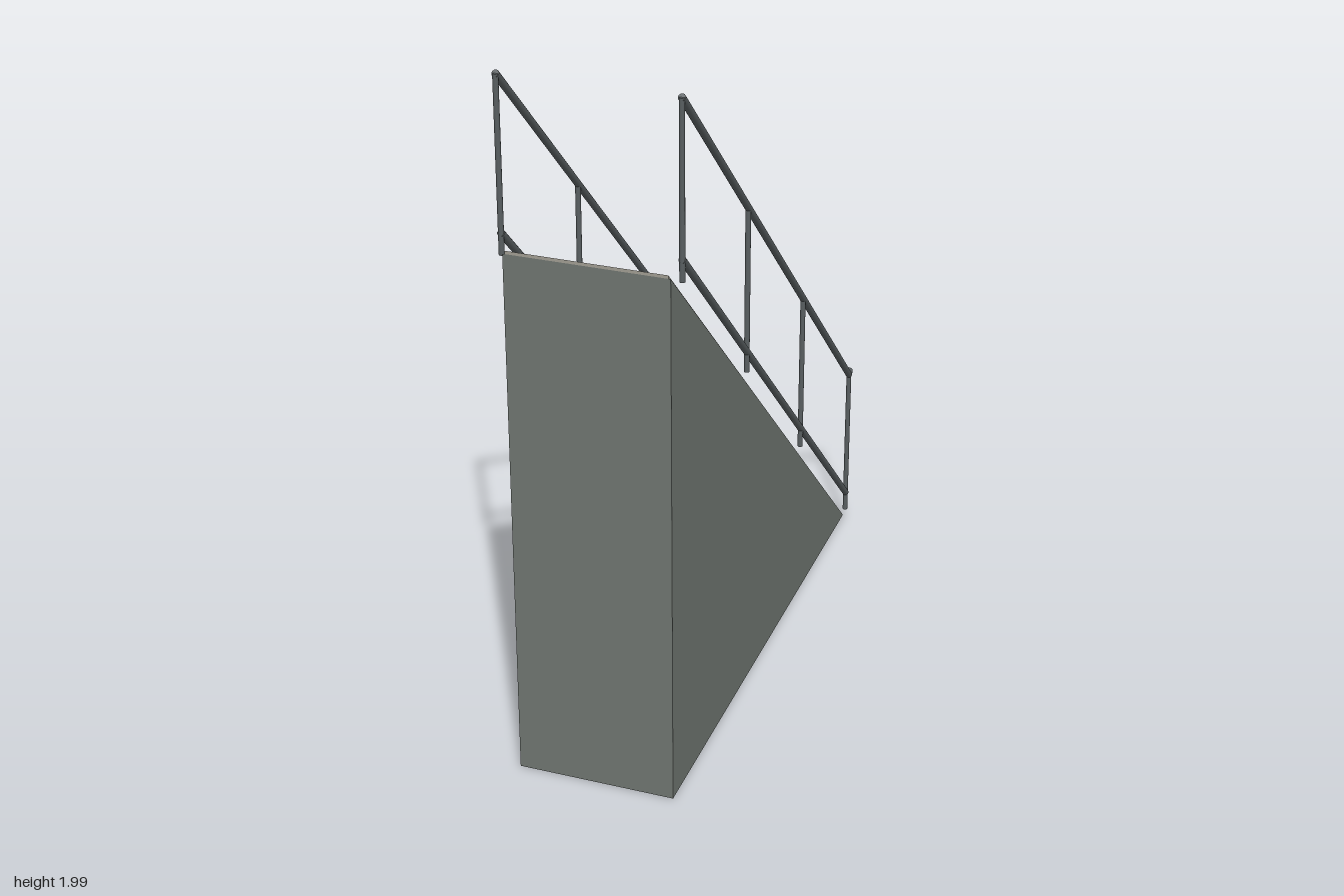
import * as THREE from 'three';

const HALF = 0.79, HEIGHT = 1.528, SLOPE = HEIGHT / (2 * HALF);
const deckY = z => (z + HALF) * SLOPE;

export function createModel() {
  const model = new THREE.Group();
  const concrete = new THREE.MeshStandardMaterial({ color: 0x6f7570 });
  concrete.name = 'grey concrete';
  const walkway = new THREE.MeshStandardMaterial({ color: 0xa09d92 });
  walkway.name = 'pale walkway';
  const steel = new THREE.MeshStandardMaterial({ color: 0x585e60 });
  steel.name = 'dark steel';

  const add = (name, geometry, material, parent = model) => {
    const mesh = new THREE.Mesh(geometry, material);
    mesh.name = name;
    parent.add(mesh);
    return mesh;
  };

  // Extrude a side profile of [z, y] points across the width
  const across = (points, width) => {
    const shape = new THREE.Shape(points.map(([z, y]) => new THREE.Vector2(-z, y)));
    const g = new THREE.ExtrudeGeometry(shape, { depth: width, bevelEnabled: false });
    return g.translate(0, 0, -width / 2).rotateY(Math.PI / 2);
  };

  // Solid wedge and the thin walking surface on it
  add('rampBody', across([[HALF, 0], [-HALF, 0], [-HALF, 0.003], [HALF, HEIGHT]], 0.44), concrete);
  add('rampSurface', across([[-HALF, 0.002], [-HALF, 0.009], [HALF, HEIGHT + 0.009], [HALF, HEIGHT]], 0.428), walkway);

  // Round bar between two points
  const bar = (name, a, b, radius, parent) => {
    const dir = b.clone().sub(a);
    const mesh = add(name, new THREE.CylinderGeometry(radius, radius, dir.length(), 12), steel, parent);
    mesh.position.copy(a).add(b).multiplyScalar(0.5);
    mesh.quaternion.setFromUnitVectors(new THREE.Vector3(0, 1, 0), dir.normalize());
  };

  // A railing on each side: four posts, a handrail and a lower rail
  const END = 0.755;
  for (const side of [1, -1]) {
    const railing = new THREE.Group();
    railing.name = side > 0 ? 'leftRailing' : 'rightRailing';
    model.add(railing);
    const at = (z, lift) => new THREE.Vector3(side * 0.237, deckY(z) + lift, z);
    for (let i = 0; i < 4; i++) {
      const z = END - (i * 2 * END) / 3;
      bar('post', at(z, 0.014), at(z, 0.49), 0.0075, railing);
    }
    for (const [name, lift] of [['handrail', 0.49], ['lowerRail', 0.073]]) {
      bar(name, at(-END, lift), at(END, lift), 0.01, railing);
    }
    // Rounded end at the foot of the handrail
    add('handrailEnd', new THREE.SphereGeometry(0.0115, 12, 8), steel, railing)
      .position.copy(at(-END, 0.49)).add(new THREE.Vector3(0, 0.012, 0));
  }
  return model;
}
